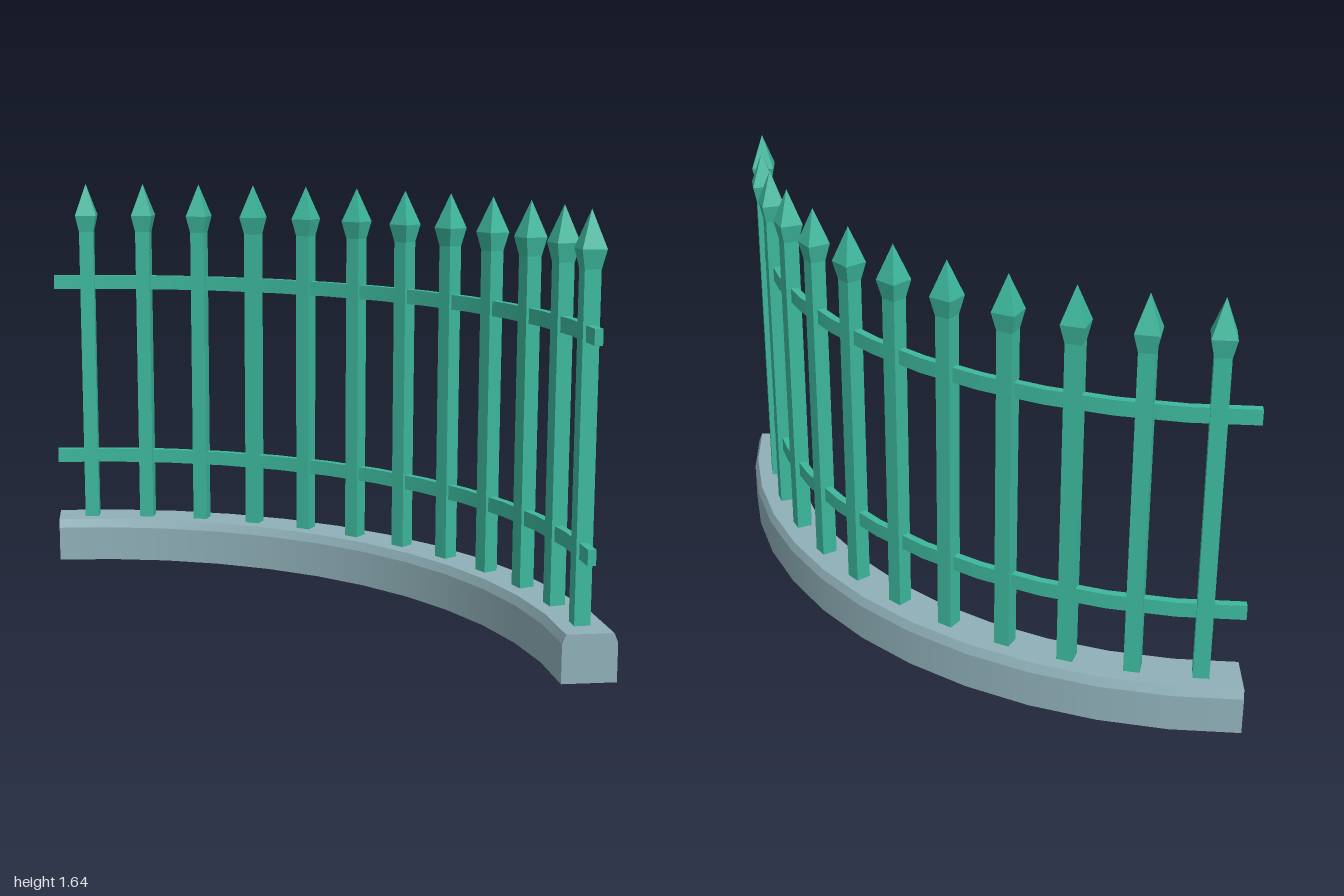
import * as THREE from 'three';
import { mergeGeometries } from 'three/addons/utils/BufferGeometryUtils.js';

const SEGMENTS = 12;
const FENCE_RADIUS = 1.897;
const POSTS = 12;

// Sweeps a counter-clockwise (radius, y) section through a quarter turn:
// smooth along the arc, sharp across the section, capped at both ends.
function quarterSweep(section) {
  const parts = section.map(([r, y], i) => {
    const [r2, y2] = section[(i + 1) % section.length];
    const edge = [new THREE.Vector2(r, y), new THREE.Vector2(r2, y2)];
    return new THREE.LatheGeometry(edge, SEGMENTS, Math.PI / 2, Math.PI / 2);
  });
  const cap = (side) => new THREE.ShapeGeometry(
    new THREE.Shape(section.map(([r, y]) => new THREE.Vector2(side * r, y))));
  parts.push(cap(1), cap(-1).rotateY(-Math.PI / 2));
  return mergeGeometries(parts);
}

// Square frustum with flat sides parallel to the axes
function squareFrustum(topWidth, bottomWidth, y0, y1) {
  const g = new THREE.CylinderGeometry(
    topWidth * Math.SQRT1_2, bottomWidth * Math.SQRT1_2, y1 - y0, 4, 1, topWidth > 0);
  return g.rotateY(Math.PI / 4).translate(0, (y0 + y1) / 2, 0);
}

export function createModel() {
  const model = new THREE.Group();
  model.name = 'curvedFence';
  const stone = new THREE.MeshStandardMaterial({ color: 0x8fb0b8 });
  const paint = new THREE.MeshStandardMaterial({ color: 0x3cb79c });
  const metal = new THREE.MeshStandardMaterial({ color: 0x3cb79c, flatShading: true });

  const add = (parent, name, geometry, material) => {
    const mesh = new THREE.Mesh(geometry, material);
    mesh.name = name;
    parent.add(mesh);
    return mesh;
  };

  // Everything curves around one corner of the footprint
  const arc = new THREE.Group();
  arc.name = 'fenceArc';
  arc.position.set(-1, 0, 1);
  model.add(arc);

  // Kerb with chamfered top edges
  add(arc, 'base', quarterSweep([
    [1.8, 0], [2, 0], [2, 0.145], [1.986, 0.18], [1.814, 0.18], [1.8, 0.145],
  ]), stone);

  // Two curved rails
  for (const [name, y0, y1] of [['lowerRail', 0.424, 0.482], ['upperRail', 1.192, 1.25]]) {
    const inner = FENCE_RADIUS - 0.015, outer = FENCE_RADIUS + 0.015;
    add(arc, name, quarterSweep([[inner, y0], [outer, y0], [outer, y1], [inner, y1]]), paint);
  }

  // Square pickets, each with a flared collar and a pointed tip
  const shaft = new THREE.BoxGeometry(0.06, 1.27, 0.06).translate(0, 0.805, 0);
  const collar = squareFrustum(0.089, 0.06, 1.44, 1.51);
  const tip = squareFrustum(0, 0.089, 1.51, 1.645);
  const first = 4.4, step = (90 - 4.4 - 3.65) / (POSTS - 1);
  for (let i = 0; i < POSTS; i++) {
    const a = THREE.MathUtils.degToRad(first + i * step);
    const picket = new THREE.Group();
    picket.name = `picket${i + 1}`;
    picket.position.set(FENCE_RADIUS * Math.sin(a), 0, -FENCE_RADIUS * Math.cos(a));
    picket.rotation.y = -a;
    add(picket, 'shaft', shaft, metal);
    add(picket, 'spearCollar', collar, metal);
    add(picket, 'spearTip', tip, metal);
    arc.add(picket);
  }

  return model;
}
